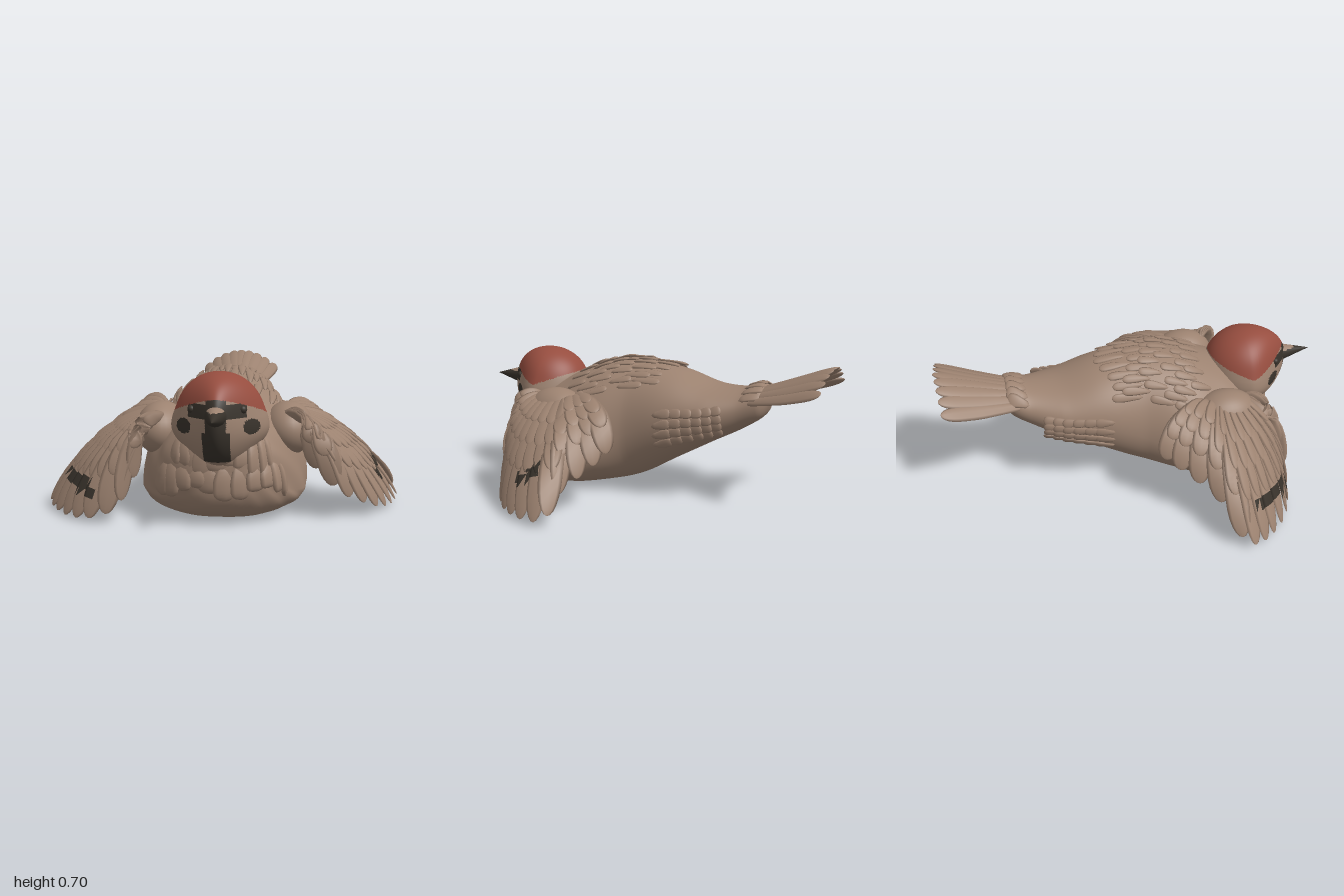
import * as THREE from 'three';
import { mergeGeometries } from 'three/addons/utils/BufferGeometryUtils.js';

const V = (x, y, z) => new THREE.Vector3(x, y, z);
const mat = (name, color) => Object.assign(new THREE.MeshStandardMaterial({ color }), { name });

// Closed surface from rings of points; winding is turned outward by its signed volume
function loft(rows, cols, fn) {
  const pos = [], idx = [];
  for (let i = 0; i <= rows; i++)
    for (let j = 0; j < cols; j++) pos.push(...fn(i / rows, (j / cols) * Math.PI * 2).toArray());
  const at = (k) => V(pos[k * 3], pos[k * 3 + 1], pos[k * 3 + 2]);
  const origin = at(Math.floor(rows / 2) * cols);
  let volume = 0;
  for (let i = 0; i < rows; i++)
    for (let j = 0; j < cols; j++) {
      const a = i * cols + j, b = i * cols + ((j + 1) % cols), c = a + cols, d = b + cols;
      for (const t of [[a, b, c], [b, d, c]]) {
        idx.push(...t);
        const [p, q, r] = t.map((k) => at(k).sub(origin));
        volume += p.dot(q.cross(r));
      }
    }
  if (volume < 0) idx.reverse();
  const geo = new THREE.BufferGeometry();
  geo.setAttribute('position', new THREE.Float32BufferAttribute(pos, 3));
  geo.setIndex(idx);
  geo.computeVertexNormals();
  return geo;
}

// Sorts faces into material groups by the centre of each face and whether it faces up
function paint(geo, count, rule) {
  const p = geo.attributes.position, src = geo.index.array;
  const lists = Array.from({ length: count }, () => []);
  for (let i = 0; i < src.length; i += 3) {
    const [a, b, c] = [0, 1, 2].map((k) => V(0, 0, 0).fromBufferAttribute(p, src[i + k]));
    const up = b.clone().sub(a).cross(c.clone().sub(a)).y > 0;
    const m = a.add(b).add(c).divideScalar(3);
    lists[rule(m.x, m.y, m.z, up)].push(src[i], src[i + 1], src[i + 2]);
  }
  geo.setIndex(lists.flat());
  geo.clearGroups();
  let start = 0;
  lists.forEach((l, m) => { geo.addGroup(start, l.length, m); start += l.length; });
  return geo;
}

// Thin rounded feather along a curve; length trims the curve, lift raises it, roll overlaps neighbours
function feather(root, ctrl, tip, side, half, { length = 1, lift = 0, thick = 0.009, roll = 0.2 } = {}) {
  const curve = new THREE.QuadraticBezierCurve3(root, ctrl, tip);
  return loft(13, 8, (v, a) => {
    const u = Math.sin((v * Math.PI) / 2);
    const p = curve.getPoint(u * length), tan = curve.getTangent(u * length);
    const n = V(0, 0, 0).crossVectors(side, tan).normalize();
    const across = V(0, 0, 0).crossVectors(tan, n).normalize();
    const round = u > 0.78 ? Math.sqrt(Math.max(0, 1 - ((u - 0.78) / 0.22) ** 2.4)) : 1;
    const w = half * Math.min(1, u * 8, 0.4 + u) * round;
    const x = Math.cos(a) * w;
    const h = Math.sin(a) * thick * round * Math.min(1, u * 8) + x * roll + lift * Math.min(1, u * 3);
    return p.addScaledVector(across, x).addScaledVector(n, h);
  });
}

// Body stations from breast to rump: [z, bottom, top, half width, height of widest point]
const stations = [
  [0.73, 0.27, 0.27, 0, 0.5], [0.7, 0.1, 0.44, 0.16, 0.4], [0.6, 0.02, 0.5, 0.3, 0.3],
  [0.45, 0, 0.56, 0.385, 0.23], [0.3, 0, 0.62, 0.405, 0.24], [0.15, 0.02, 0.66, 0.355, 0.32],
  [0, 0.06, 0.665, 0.29, 0.42], [-0.2, 0.17, 0.635, 0.268, 0.48], [-0.4, 0.28, 0.575, 0.225, 0.5],
  [-0.55, 0.36, 0.57, 0.16, 0.5], [-0.65, 0.43, 0.59, 0.12, 0.5], [-0.69, 0.52, 0.52, 0, 0.5],
];
const outline = new THREE.CatmullRomCurve3(stations.map((s) => V(s[0], s[1], s[2])));
const girth = new THREE.CatmullRomCurve3(stations.map((s) => V(s[3], s[4], 0)));
function bodyPoint(t, a) {
  const o = outline.getPoint(t), g = girth.getPoint(t), c = Math.cos(a), s = Math.sin(a);
  const mid = o.y + (o.z - o.y) * g.y;
  const ruffle = 1 + 0.035 * Math.sin(a * 9 + t * 20) * Math.sin(t * 38 + a * 3) * Math.max(0, 1 - t * 2.2);
  const x = Math.sign(c) * Math.abs(c) ** (s > 0 ? 1 : 0.75) * Math.max(0, g.x) * ruffle;
  return V(x, s > 0 ? mid + (o.z - mid) * s : mid + (mid - o.y) * s, o.x);
}

// Small feather lying on the body; st counts stations, span is its length in stations
function scale(st, a, span, half, rise) {
  const t = st / 11, e = Math.min(0.99, (st + span) / 11);
  const root = bodyPoint(t, a), tip = bodyPoint(e, a), ctrl = bodyPoint((t + e) / 2, a);
  const side = bodyPoint(t, a + 0.05).sub(bodyPoint(t, a - 0.05)).normalize();
  const out = V(0, 0, 0).crossVectors(side, tip.clone().sub(root)).normalize();
  if (out.dot(V(Math.cos(a), Math.sin(a), 0)) < 0) out.negate();
  tip.addScaledVector(out, rise);
  ctrl.addScaledVector(out, rise);
  return feather(root, ctrl, tip, side, half, { thick: 0.007, roll: 0.1 });
}

export function createModel() {
  const group = new THREE.Group();
  const brown = mat('plumage brown', 0x9c8270);
  const red = mat('crown chestnut', 0x964d3f);
  const dark = mat('marking black', 0x38322b);
  const add = (name, geo, material) => {
    const m = new THREE.Mesh(geo, material);
    m.name = name;
    group.add(m);
  };

  add('body', loft(88, 72, bodyPoint), brown);

  // Head with chestnut crown, eye mask, cheek spots and bib
  const ball = new THREE.SphereGeometry(1, 160, 120), hp = ball.attributes.position;
  for (let i = 0; i < hp.count; i++) {
    const x = hp.getX(i), y = hp.getY(i), z = hp.getZ(i);
    const taper = 1 - 0.62 * (Math.max(0, z + 0.2) / 1.2) ** 1.5;
    const cheek = 1 + 0.15 * Math.exp(-((y + 0.3) ** 2) * 8);
    hp.setXYZ(i, x * 0.205 * taper * cheek, 0.5 + y * (y > 0 ? 0.2 : 0.235), 0.63 + z * 0.225);
  }
  ball.computeVertexNormals();
  add('head', paint(ball, 3, (x, y, z) => {
    const ax = Math.abs(x);
    if (y > 0.512 + 0.36 * Math.abs(z - 0.6)) return 1;
    const mask = z > 0.71 && ax < 0.128 && y > 0.51 && y < 0.572;
    const spot = Math.hypot((y - 0.468) / 0.034, (z - 0.73) / 0.04) < 1 && ax > 0.1;
    const bib = z > 0.7 && y > 0.31 && ax < (y < 0.45 ? 0.06 : 0.045);
    return mask || spot || bib ? 2 : 0;
  }), [brown, red, dark]);

  // Beak with a pale patch on the upper base
  const beak = new THREE.ConeGeometry(0.052, 0.19, 32, 12).rotateX(Math.PI / 2).translate(0, 0.522, 0.905);
  add('beak', paint(beak, 2, (x, y, z) => (z < 0.9 && y > 0.546 ? 0 : 1)), [brown, dark]);
  for (const s of [-1, 1])
    add('eye', new THREE.SphereGeometry(0.018, 20, 14).translate(s * 0.112, 0.545, 0.752), dark);

  // Back, rump and flank feathers
  const back = [], flank = [], ruff = [];
  for (let r = 0; r < 6; r++)
    for (let k = -4; k <= 4; k++) {
      const vary = Math.sin(k * 7.3 + r * 4.1);
      back.push(scale(3.6 + r * 0.5 + vary * 0.15, Math.PI / 2 + (k + (r % 2) * 0.5) * 0.2, 0.8, 0.022, 0.013 + vary * 0.006));
    }
  for (let k = -3; k <= 3; k++) back.push(scale(9.1, Math.PI / 2 + k * 0.35, 1.1, 0.035, 0.013));
  for (let r = 0; r < 6; r++)
    for (let k = 0; k < 4; k++)
      for (const s of [0, 1]) {
        const a = 0.2 - k * 0.22;
        flank.push(scale(6.8 + r * 0.26, s ? Math.PI - a : a, 0.5, 0.024, 0.018 + r * 0.005));
      }
  add('backFeathers', mergeGeometries(back), brown);
  add('flankFeathers', mergeGeometries(flank), brown);

  // Breast ruff hanging below the cheeks
  for (let row = 0; row < 2; row++)
    for (let k = -5; k <= 5; k++) {
      const b = (k + row * 0.5) * 0.25, s = Math.sin(b), c = Math.cos(b), y = 0.4 - row * 0.1;
      const r = 0.2 + row * 0.05, vary = 0.03 * Math.sin(k * 5 + row * 2);
      ruff.push(feather(V(r * s, y, 0.54 + 0.15 * c), V((r + 0.05) * s, y - 0.05, 0.55 + 0.185 * c),
        V((r + 0.05) * s, y - 0.15 - vary, 0.55 + 0.16 * c), V(c, 0, -s), 0.06,
        { thick: 0.018, roll: 0.1 + vary * 4 }));
    }
  add('breastRuff', mergeGeometries(ruff), brown);

  // Wings: long feathers fanned to a row of tips, with shorter covert rows above
  function wing(name, root, tips, marked) {
    const arc = new THREE.CatmullRomCurve3(tips.map((t) => V(...t)));
    const out = Math.sign(root.x), parts = [];
    for (const [length, count, lift] of [[1, 14, 0], [0.74, 14, 0.01], [0.56, 13, 0.018], [0.38, 12, 0.026]])
      for (let i = 0; i < count; i++) {
        const f = i / (count - 1), tip = arc.getPoint(f), fan = 0.5 - f;
        const side = arc.getTangent(f).multiplyScalar(out);
        const start = root.clone().add(V(0, 0, fan * 0.2));
        const ctrl = start.clone().lerp(tip, 0.5).add(V(out * 0.075, 0.165, fan * 0.2));
        const n = V(0, 0, 0).crossVectors(side, tip.clone().sub(start));
        if (n.y < 0) side.negate();
        parts.push(feather(start, ctrl, tip, side, 0.055 * (0.35 + 0.65 * length), { length, lift, roll: 0.14 }));
      }
    add(name, paint(mergeGeometries(parts), 2, (x, y, z, up) => (up && marked(x, y, z) ? 1 : 0)), [brown, dark]);
    const mound = new THREE.SphereGeometry(1, 32, 24).scale(0.125, 0.13, 0.17);
    add(name + 'Shoulder', mound.translate(root.x + out * 0.03, root.y - 0.075, root.z), brown);
  }
  wing('leftWing', V(0.28, 0.48, 0.37), [
    [0.44, 0.24, 0.53], [0.56, 0.13, 0.53], [0.67, 0.07, 0.47], [0.76, 0.03, 0.4], [0.82, 0.02, 0.31],
    [0.86, 0.02, 0.2], [0.87, 0.04, 0.08], [0.74, 0.14, 0.07], [0.6, 0.21, 0.01], [0.51, 0.28, -0.04],
  ], (x, y, z) => x > 0.6 && z > 0.18 && z < 0.31 && Math.abs(y - 0.2 - (0.25 - z) * 0.6) < 0.028);
  wing('rightWing', V(-0.27, 0.48, 0.41), [
    [-0.4, 0.2, 0.6], [-0.48, 0.07, 0.68], [-0.6, 0.02, 0.67], [-0.7, 0.01, 0.62], [-0.79, 0.01, 0.53],
    [-0.85, 0.02, 0.44], [-0.87, 0.05, 0.35], [-0.69, 0.2, 0.25], [-0.57, 0.28, 0.13], [-0.5, 0.34, 0.04],
  ], (x, y, z) => Math.abs(x + 0.67) < 0.09 && Math.abs(y - 0.165 - (x + 0.67) * -0.15) < 0.03 && z > 0.4);

  // Tail fan, arched across
  const tail = [];
  for (let k = -4; k <= 4; k++) {
    const x = k * 0.0555, drop = 1.8 * x * x;
    const root = V(x * 0.45, 0.535 - drop * 0.4, -0.54), tip = V(x, 0.695 - drop, -1 + Math.abs(x) * 0.07);
    tail.push(feather(root, root.clone().lerp(tip, 0.5).add(V(0, -0.012, 0)), tip,
      V(-1, 2 * x, 0).normalize(), 0.039, { thick: 0.012, roll: Math.sign(k) * -0.15 }));
  }
  add('tail', mergeGeometries(tail), brown);
  return group;
}
